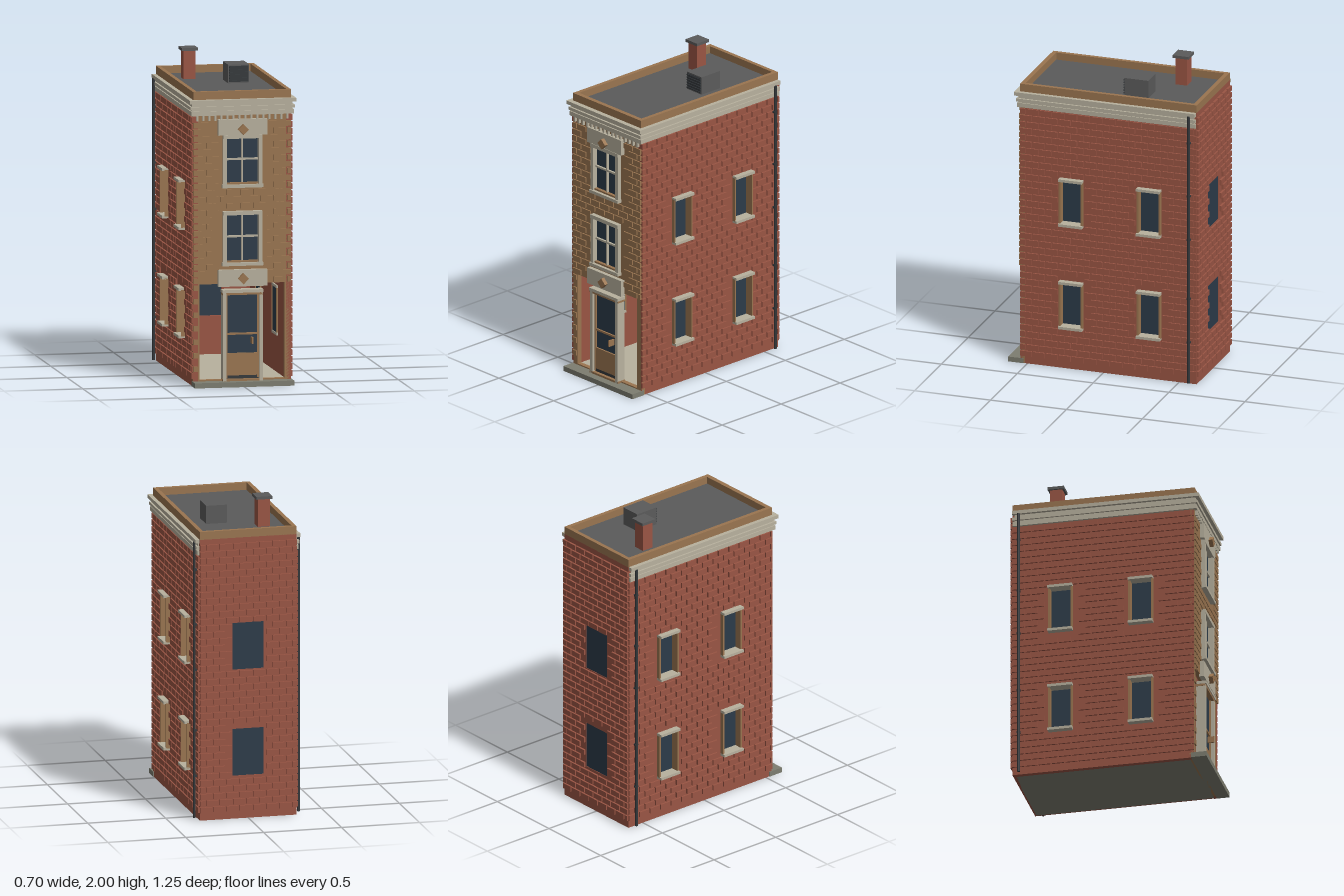
import * as THREE from 'three';
import { mergeGeometries } from 'three/addons/utils/BufferGeometryUtils.js';

const mat = (name, color) => Object.assign(new THREE.MeshStandardMaterial({ color }), { name });

export function createModel() {
  const red = mat('red brick', 0x9a5544);
  const tan = mat('tan brick', 0x9a7550);
  const stone = mat('pale stone', 0xb8b19e);
  const concrete = mat('concrete', 0x7d7d70);
  const roofGrey = mat('roof grey', 0x5b5b5b);
  const iron = mat('dark iron', 0x34383b);
  const glass = mat('window glass', 0x2c3b49);

  const root = new THREE.Group();
  root.name = 'townhouse';

  const group = (name, parent = root) => {
    const g = new THREE.Group();
    g.name = name;
    parent.add(g);
    return g;
  };
  const add = (parent, name, geometry, material) => {
    const m = new THREE.Mesh(geometry, material);
    m.name = name;
    parent.add(m);
    return m;
  };
  const boxGeo = (x0, x1, y0, y1, z0, z1) =>
    new THREE.BoxGeometry(x1 - x0, y1 - y0, z1 - z0)
      .translate((x0 + x1) / 2, (y0 + y1) / 2, (z0 + z1) / 2);
  const box = (parent, name, material, ...b) => add(parent, name, boxGeo(...b), material);

  // Running-bond bricks that leave out whole bricks around openings [u0, u1, v0, v1]
  function bricks(u0, u1, v0, v1, z, depth, openings) {
    const list = [], rows = Math.round((v1 - v0) / 0.043);
    const h = (v1 - v0) / rows, len = 0.085, gap = 0.009;
    for (let r = 0; r < rows; r++) {
      const b = v0 + r * h, t = b + h - gap;
      for (let u = u0 - (r % 2) * len / 2; u < u1; u += len) {
        const l = Math.max(u, u0), e = Math.min(u + len - gap, u1);
        if (e - l < 0.012) continue;
        if (openings.some(o => e > o[0] && l < o[1] && t > o[2] && b < o[3])) continue;
        list.push(boxGeo(l, e, b, t, z - 0.002, z + depth));
      }
    }
    return mergeGeometries(list);
  }

  // Wall panel with holes, facing local +z at distance d from the centre
  function wall(name, material, turn, d, u0, u1, top, brickTop, holes, depth, keepClear) {
    const g = group(name);
    g.rotation.y = turn;
    const shape = new THREE.Shape([[u0, 0], [u1, 0], [u1, top], [u0, top]].map(p => new THREE.Vector2(...p)));
    for (const [a, b, c, e] of holes)
      shape.holes.push(new THREE.Path([[a, c], [a, e], [b, e], [b, c]].map(p => new THREE.Vector2(...p))));
    const geo = new THREE.ExtrudeGeometry(shape, { depth: 0.03, bevelEnabled: false });
    add(g, name + 'Panel', geo.translate(0, 0, d - 0.03), material);
    add(g, name + 'Bricks', bricks(u0, u1, 0.05, brickTop, d, depth, keepClear), material);
    return g;
  }

  const floors = [[0.28, 0.57], [0.96, 1.25]];

  // Side walls with deep windows and a drainpipe
  for (const s of [1, -1]) {
    const side = s > 0 ? 'left' : 'right';
    const holes = [];
    for (const zc of [0.208, -0.305])
      for (const [v0, v1] of floors) holes.push([-s * zc - 0.07, -s * zc + 0.07, v0, v1]);
    const ends = [-s * 0.545, s * 0.615].sort((a, b) => a - b);
    const g = wall(side + 'Wall', red, s * Math.PI / 2, 0.31, ...ends, 1.79, 1.7, holes, 0.011,
      holes.map(([a, b, c, d]) => [a - 0.015, b + 0.015, c - 0.012, d + 0.012]));
    for (const [a, b, c, d] of holes) {
      const w = group('sideWindow', g);
      box(w, 'glass', glass, a, b, c, d, 0.274, 0.282);
      box(w, 'jamb', tan, a - 0.008, a + 0.004, c, d, 0.27, 0.333);
      box(w, 'jamb', tan, b - 0.004, b + 0.008, c, d, 0.27, 0.333);
      box(w, 'sill', stone, a - 0.008, b + 0.008, c - 0.012, c + 0.005, 0.27, 0.35);
      box(w, 'lintel', stone, a - 0.008, b + 0.008, d - 0.005, d + 0.012, 0.27, 0.35);
    }
    const pipe = new THREE.CylinderGeometry(0.009, 0.009, 1.77, 10);
    add(root, side + 'Drainpipe', pipe.translate(s * 0.334, 0.895, -0.57), iron);
    for (const y of [0.28, 0.57, 0.96, 1.25, 1.6])
      box(root, 'pipeBracket', iron, s * 0.328 - 0.01, s * 0.328 + 0.01, y - 0.006, y + 0.006, -0.581, -0.559);
  }

  // Back wall with two flush windows
  const backHoles = floors.map(([a, b]) => [-0.1, 0.1, a - 0.005, b + 0.005]);
  const back = wall('backWall', red, Math.PI, 0.615, -0.31, 0.31, 1.8, 1.775, backHoles, 0.013, backHoles);
  for (const [a, b, c, d] of backHoles) box(back, 'backGlass', glass, a, b, c, d, 0.604, 0.612);

  // Front wall, open behind the ground-floor entrance
  const windows = [[0.77, 1.085], [1.26, 1.565]];
  const frontHoles = [[-0.27, 0.27, 0.04, 0.64], ...windows.map(([a, b]) => [-0.11, 0.11, a, b])];
  const front = wall('frontWall', tan, 0, 0.545, -0.31, 0.31, 1.79, 1.665, frontHoles, 0.009, [
    [-0.27, 0.31, 0, 0.645], [-0.155, 0.155, 0.6, 0.73], [-0.155, 0.155, 1.57, 1.7],
    ...windows.map(([a, b]) => [-0.128, 0.128, a - 0.02, b + 0.01])]);

  // Front sash windows
  for (const [a, b] of windows) {
    const w = group('frontWindow', front), m = (a + b) / 2 + 0.01;
    box(w, 'glass', glass, -0.11, 0.11, a, b, 0.53, 0.538);
    for (const s of [-1, 1]) box(w, 'jamb', stone, s * 0.113 - 0.012, s * 0.113 + 0.012, a, b, 0.52, 0.572);
    box(w, 'head', stone, -0.125, 0.125, b - 0.012, b + 0.012, 0.52, 0.575);
    box(w, 'sill', stone, -0.13, 0.13, a - 0.015, a + 0.005, 0.52, 0.58);
    box(w, 'bottomRail', tan, -0.1, 0.1, a + 0.005, a + 0.016, 0.535, 0.56);
    box(w, 'mullion', stone, -0.006, 0.006, a, b, 0.535, 0.552);
    box(w, 'meetingRail', stone, -0.1, 0.1, m - 0.006, m + 0.006, 0.535, 0.552);
  }

  // Stone plaques with diamond ornaments
  for (const [y0, y1, yc] of [[0.625, 0.73, 0.675], [1.575, 1.675, 1.612]]) {
    box(front, 'plaque', stone, -0.155, 0.155, y0, y1, 0.54, 0.572);
    const diamond = new THREE.BoxGeometry(0.048, 0.048, 0.03).rotateZ(Math.PI / 4);
    add(front, 'diamond', diamond.translate(0, yc, 0.582), tan);
  }

  // Entrance door and its frame
  const door = group('door');
  for (const s of [-1, 1]) {
    box(door, 'doorJamb', stone, s * 0.115 - 0.011, s * 0.115 + 0.011, 0.03, 0.585, 0.515, 0.575);
    box(door, 'stile', tan, s * 0.1 - 0.006, s * 0.1 + 0.006, 0.05, 0.575, 0.53, 0.556);
  }
  box(door, 'doorHead', tan, -0.128, 0.128, 0.572, 0.586, 0.515, 0.575);
  box(door, 'doorCap', stone, -0.13, 0.13, 0.586, 0.605, 0.515, 0.58);
  box(door, 'doorGlass', glass, -0.104, 0.104, 0.2, 0.572, 0.535, 0.544);
  box(door, 'lowerPanel', tan, -0.104, 0.104, 0.065, 0.205, 0.53, 0.555);
  box(door, 'kickPlate', iron, -0.104, 0.104, 0.045, 0.065, 0.53, 0.553);
  box(door, 'threshold', tan, -0.128, 0.128, 0.03, 0.045, 0.515, 0.575);
  box(door, 'doorRail', tan, -0.104, 0.104, 0.32, 0.332, 0.535, 0.555);
  box(door, 'handle', tan, 0.054, 0.064, 0.265, 0.305, 0.54, 0.588);

  // Ground slab, doorstep and entrance floor
  box(root, 'groundSlab', concrete, -0.302, 0.302, 0, 0.028, -0.605, 0.53);
  box(root, 'doorstep', concrete, -0.315, 0.315, 0, 0.032, 0.525, 0.625);
  box(root, 'entranceFloor', stone, -0.28, 0.28, 0.028, 0.034, -0.585, 0.524);

  // Cornice bands and dentils
  const cornice = group('cornice');
  box(cornice, 'frieze', stone, -0.318, 0.318, 1.7, 1.785, -0.6, 0.555);
  for (const [y0, y1, x, z] of [[1.7, 1.728, 0.325, 0.563], [1.737, 1.757, 0.33, 0.568], [1.777, 1.8, 0.337, 0.58]])
    box(cornice, 'band', stone, -x, x, y0, y1, -0.612, z);
  for (let i = 0; i < 16; i++) {
    const x = -0.285 + i * 0.038;
    box(cornice, 'dentil', stone, x - 0.007, x + 0.007, 1.668, 1.702, 0.54, 0.562);
  }

  // Flat roof and parapet
  box(root, 'roof', roofGrey, -0.295, 0.295, 1.785, 1.804, -0.6, 0.53);
  const parapet = group('parapet');
  for (const s of [-1, 1]) box(parapet, 'parapetSide', tan, s * 0.297 - 0.013, s * 0.297 + 0.013, 1.798, 1.85, -0.615, 0.548);
  box(parapet, 'parapetBack', tan, -0.284, 0.284, 1.798, 1.85, -0.615, -0.589);
  box(parapet, 'parapetFront', tan, -0.284, 0.284, 1.798, 1.85, 0.519, 0.548);

  // Chimney
  box(root, 'chimney', red, -0.195, -0.117, 1.8, 1.985, -0.402, -0.324);
  box(root, 'chimneyCap', roofGrey, -0.207, -0.104, 1.982, 2, -0.415, -0.311);

  // Rooftop ventilation unit
  const vent = group('ventUnit');
  box(vent, 'ventBox', roofGrey, 0.042, 0.175, 1.8, 1.92, -0.25, -0.092);
  box(vent, 'ventPanel', iron, 0.048, 0.169, 1.812, 1.912, -0.093, -0.089);
  for (let i = 0; i < 6; i++)
    box(vent, 'ventSlat', iron, 0.048, 0.169, 1.815 + i * 0.017, 1.823 + i * 0.017, -0.09, -0.083);

  return root;
}
